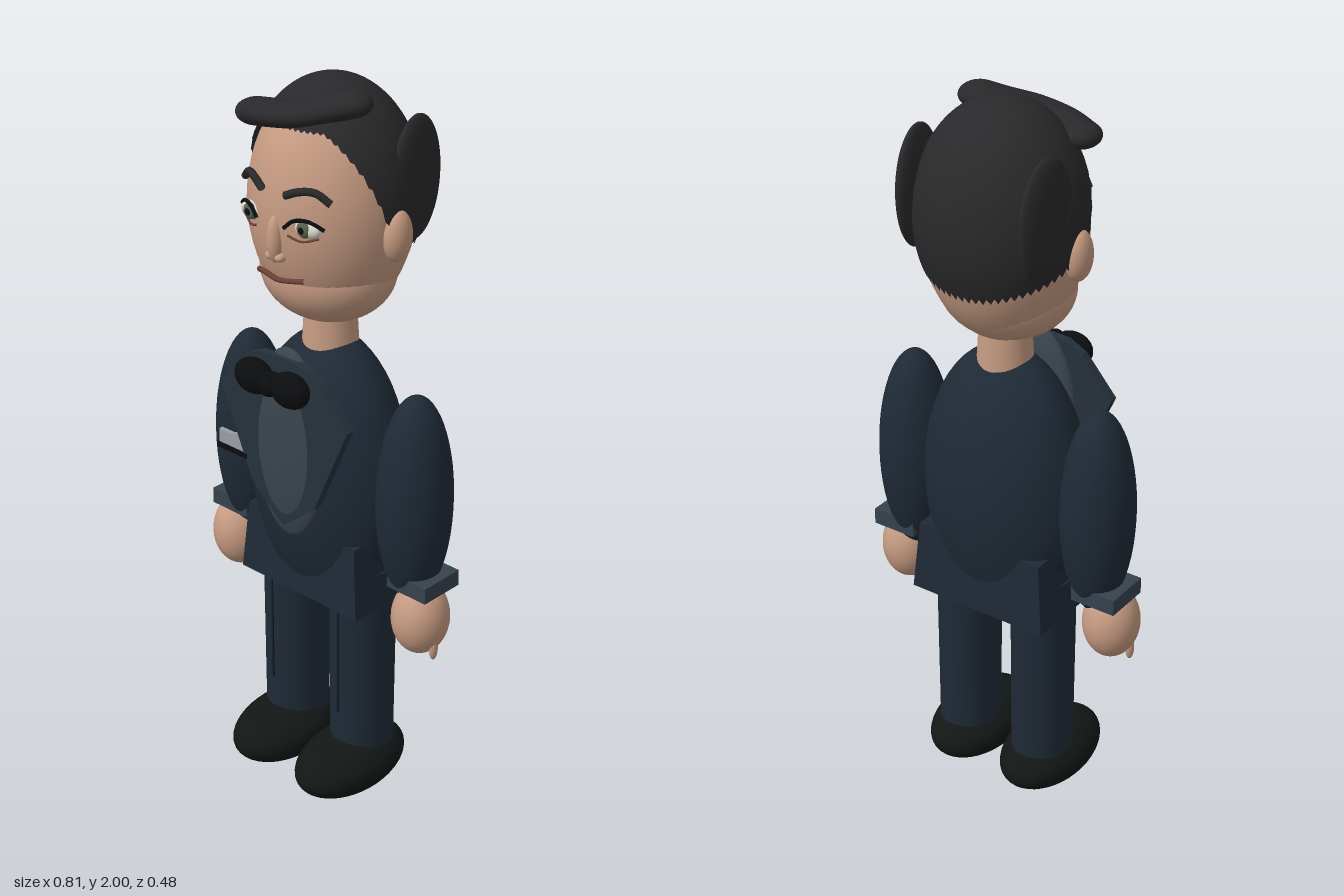
import * as THREE from 'three';

const mat = (color, side = THREE.FrontSide) => new THREE.MeshStandardMaterial({ color, side });
const SUIT = mat(0x1f2a36), SHIRT = mat(0x3a444d), LAPEL = mat(0x26313c), CUFF = mat(0x36424d);
const SKIN = mat(0xc69b82), HAIR = mat(0x29292b, THREE.DoubleSide), SHOE = mat(0x121716), BLACK = mat(0x0c0d0f);
const WHITE = mat(0xd8d6cc), IRIS = mat(0x59604a), LIP = mat(0x6e4038), CLOTH = mat(0x9a9fa4), CREASE = mat(0x161e27);

// Front surface of the head at a given x, y
const faceZ = (x, y) =>
  -0.02 + 0.205 * Math.sqrt(Math.max(0, 1 - (x / 0.215) ** 2 - ((y - 1.68) / 0.31) ** 2));

// Skull-cap hair: each meridian of an ellipsoid stops at the hairline
function hairGeometry() {
  const g = new THREE.SphereGeometry(1, 64, 32);
  const p = g.attributes.position, uv = g.attributes.uv;
  const hairline = (z) =>
    z > 0.11 ? 1.9 : z > 0.01 ? 1.65 + (z - 0.01) * 2.5 : 1.65 + (z - 0.01) * 0.52;
  for (let i = 0; i < p.count; i++) {
    const a = uv.getX(i) * Math.PI * 2, v = 1 - uv.getY(i);
    let end = 0.3;
    while (end < 2.6 && 1.7 + 0.3 * Math.cos(end) > hairline(-0.025 + 0.216 * Math.sin(end) * Math.cos(a))) end += 0.005;
    const t = v * end;
    p.setXYZ(i, 0.226 * Math.sin(t) * Math.sin(a), 1.7 + 0.3 * Math.cos(t), -0.025 + 0.216 * Math.sin(t) * Math.cos(a));
  }
  g.computeVertexNormals();
  return g;
}

export function createModel() {
  const model = new THREE.Group();
  const add = (name, geo, material, pos = [0, 0, 0], parent = model) => {
    const m = new THREE.Mesh(geo, material);
    m.name = name;
    m.position.set(...pos);
    parent.add(m);
    return m;
  };
  const ball = new THREE.SphereGeometry(1, 40, 28);
  const ellipsoid = (name, material, pos, radii, parent) => {
    const m = add(name, ball, material, pos, parent);
    m.scale.set(...radii);
    return m;
  };
  const curve = (pts) => new THREE.CatmullRomCurve3(pts.map((q) => new THREE.Vector3(...q)));
  // Thin stroke following the face
  const stroke = (name, material, pts, r, lift) =>
    add(name, new THREE.TubeGeometry(curve(pts.map(([x, y]) => [x, y, faceZ(x, y) + lift])), 16, r, 8), material);

  // Head
  ellipsoid('head', SKIN, [0, 1.68, -0.02], [0.215, 0.31, 0.205]);
  ellipsoid('jaw', SKIN, [0, 1.51, -0.008], [0.182, 0.137, 0.163]);
  add('neck', new THREE.CylinderGeometry(0.065, 0.075, 0.16, 32), SKIN, [0, 1.35, -0.015]);
  ellipsoid('nose', SKIN, [0, 1.635, 0.178], [0.021, 0.062, 0.024]);
  stroke('mouth', LIP, [[-0.08, 1.527], [-0.04, 1.533], [0, 1.527], [0.04, 1.533], [0.08, 1.54]], 0.007, 0.015);
  add('hair', hairGeometry(), HAIR);

  // Swept fringe, flattened vertically
  const fringe = new THREE.Group();
  fringe.name = 'fringe';
  fringe.scale.y = 0.6;
  fringe.position.y = 1.9;
  model.add(fringe);
  const sweep = [[-0.145, 0, 0.09], [-0.08, 0.025, 0.105], [0, 0.05, 0.1], [0.06, 0.078, 0.065], [0.11, 0.105, 0.035]];
  add('fringeRoll', new THREE.TubeGeometry(curve(sweep), 32, 0.054, 24), HAIR, [0, 0, 0], fringe);
  for (const end of [sweep[0], sweep[4]]) ellipsoid('fringeEnd', HAIR, end, [0.054, 0.054, 0.054], fringe);

  // Torso and jacket
  ellipsoid('torso', SUIT, [0, 0.94, -0.012], [0.235, 0.395, 0.17]);
  const skirt = new THREE.CylinderGeometry(0.19 * Math.SQRT2, 0.208 * Math.SQRT2, 0.2, 4, 1).toNonIndexed();
  skirt.rotateY(Math.PI / 4);
  skirt.scale(1, 1, 0.63);
  skirt.computeVertexNormals();
  add('jacketSkirt', skirt, SUIT, [0, 0.703, -0.02]);
  ellipsoid('shirtFront', SHIRT, [0, 1.06, 0.135], [0.122, 0.27, 0.04]);

  // Bow tie
  ellipsoid('bowKnot', BLACK, [0, 1.255, 0.205], [0.03, 0.033, 0.033]);

  // Pocket with folded square
  add('pocket', new THREE.BoxGeometry(0.11, 0.014, 0.025), BLACK, [-0.185, 0.985, 0.152]);
  const fold = new THREE.Shape([[-0.235, 0.99], [-0.145, 0.99], [-0.16, 1.04], [-0.19, 1.03], [-0.235, 1.03]]
    .map((q) => new THREE.Vector2(...q)));
  add('pocketSquare', new THREE.ExtrudeGeometry(fold, { depth: 0.012, bevelEnabled: false }), CLOTH, [0, 0, 0.148]);

  // Mirrored parts
  for (const s of [-1, 1]) {
    ellipsoid('ear', SKIN, [s * 0.217, 1.645, -0.018], [0.034, 0.068, 0.042]);
    const lobe = ellipsoid('sideHair', HAIR, [s * 0.188, 1.76, -0.115], [0.027, 0.16, 0.096]);
    lobe.rotation.y = s * 0.1;

    // Eye with lids, lashes and brow
    const ex = s * 0.09, ez = faceZ(0.09, 1.68);
    ellipsoid('eyeWhite', WHITE, [ex, 1.68, ez - 0.005], [0.04, 0.024, 0.02]);
    ellipsoid('iris', IRIS, [ex, 1.681, ez + 0.008], [0.021, 0.021, 0.011]);
    ellipsoid('pupil', BLACK, [ex, 1.681, ez + 0.015], [0.01, 0.01, 0.007]);
    stroke('upperLid', BLACK, [[s * 0.045, 1.68], [s * 0.07, 1.702], [s * 0.105, 1.705], [s * 0.138, 1.685]], 0.005, 0.016);
    stroke('lowerLid', LIP, [[s * 0.05, 1.66], [s * 0.085, 1.65], [s * 0.125, 1.662]], 0.003, 0.01);
    stroke('eyebrow', HAIR, [[s * 0.038, 1.757], [s * 0.075, 1.772], [s * 0.11, 1.773], [s * 0.143, 1.748]], 0.01, 0.01);
    ellipsoid('nostril', SKIN, [s * 0.015, 1.59, 0.178], [0.014, 0.012, 0.016]);

    // Lapel
    const pts = [[0, 1.31], [0.08, 1.305], [0.13, 1.28], [0.222, 1.175], [0.11, 0.92], [0, 0.83]];
    const lapel = new THREE.Shape(pts.map(([x, y]) => new THREE.Vector2(s * x, y)));
    add('lapel', new THREE.ExtrudeGeometry(lapel, { depth: 0.025, bevelEnabled: false }), LAPEL, [0, 0, 0.138]);
    ellipsoid('bowWing', BLACK, [s * 0.063, 1.255, 0.198], [0.059, 0.047, 0.037]);

    // Arm, cuff and hand
    ellipsoid('arm', SUIT, [s * 0.29, 0.945, -0.018], [0.097, 0.295, 0.104]);
    add('cuff', new THREE.BoxGeometry(0.13, 0.045, 0.132), CUFF, [s * 0.322, 0.725, -0.02]);
    ellipsoid('hand', SKIN, [s * 0.331, 0.622, -0.004], [0.076, 0.104, 0.079]);
    for (const [fx, fz] of [[0.285, 0.01], [0.3, -0.015], [0.385, 0.005]])
      ellipsoid('finger', SKIN, [s * fx, 0.55, fz], [0.011, 0.034, 0.013]);

    // Leg and shoe
    const leg = add('leg', new THREE.CylinderGeometry(0.084, 0.081, 0.6, 36), SUIT, [s * 0.122, 0.4, -0.012]);
    leg.scale.z = 1.16;
    add('trouserCrease', new THREE.BoxGeometry(0.005, 0.33, 0.008), CREASE, [s * 0.122, 0.43, 0.084]);
    ellipsoid('shoe', SHOE, [s * 0.12, 0.087, 0.033], [0.115, 0.085, 0.185]);
  }
  return model;
}
